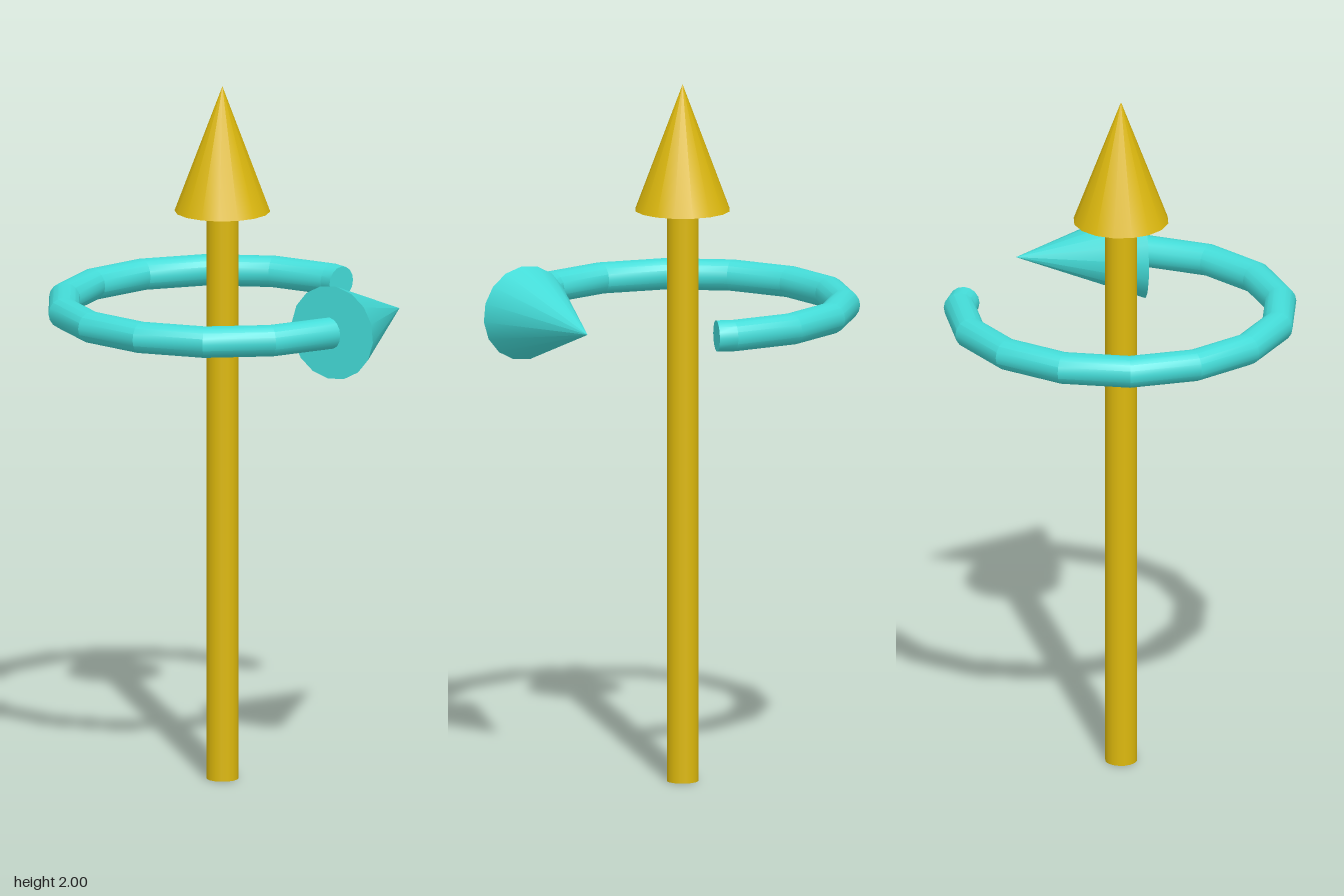
import * as THREE from 'three';
import { toCreasedNormals } from 'three/addons/utils/BufferGeometryUtils.js';

const SIDES = 16, R = 0.455, TUBE = 0.045, AXIS_X = -0.05, RING_Y = 1.365;
const HEAD_R = 0.135, HEAD_H = 0.36;

// Faceted three-quarter ring: 24 degree steps, the last one cut short at 270 degrees
function ringGeometry() {
  const stations = [];
  for (let a = 0; a <= 264; a += 24) stations.push([a, 1]);
  stations.push([270, 0.9836]);
  const pos = [], index = [];
  for (const [deg, scale] of stations) {
    const a = THREE.MathUtils.degToRad(deg);
    for (let j = 0; j < SIDES; j++) {
      const t = (j / SIDES) * Math.PI * 2;
      const r = (R + TUBE * Math.cos(t)) * scale;
      pos.push(r * Math.cos(a), TUBE * Math.sin(t), r * Math.sin(a));
    }
  }
  for (let i = 0; i < stations.length - 1; i++) {
    for (let j = 0; j < SIDES; j++) {
      const k = (j + 1) % SIDES;
      const a = i * SIDES + j, b = i * SIDES + k, c = a + SIDES, d = b + SIDES;
      index.push(a, b, c, b, d, c);
    }
  }
  // End caps
  const last = (stations.length - 1) * SIDES;
  for (let j = 1; j < SIDES - 1; j++) {
    index.push(0, j + 1, j);
    index.push(last, last + j, last + j + 1);
  }
  const g = new THREE.BufferGeometry();
  g.setAttribute('position', new THREE.Float32BufferAttribute(pos, 3));
  g.setIndex(index);
  return toCreasedNormals(g, 0.41);
}

export function createModel() {
  const group = new THREE.Group();
  const gold = new THREE.MeshStandardMaterial({ color: 0xdcb80c });
  const teal = new THREE.MeshStandardMaterial({ color: 0x44dcd8, side: THREE.DoubleSide });
  const add = (name, geometry, material, x, y, z) => {
    const mesh = new THREE.Mesh(geometry, material);
    mesh.name = name;
    mesh.position.set(x, y, z);
    group.add(mesh);
    return mesh;
  };

  // Upright axis arrow
  const shaftH = 2 - HEAD_H;
  add('axisShaft', new THREE.CylinderGeometry(TUBE, TUBE, shaftH, SIDES), gold, AXIS_X, shaftH / 2, 0);
  add('axisHead', new THREE.ConeGeometry(HEAD_R, HEAD_H, SIDES), gold, AXIS_X, 2 - HEAD_H / 2, 0);

  // Rotation arrow: open ring and a head leaning inward along the turn
  add('rotationRing', ringGeometry(), teal, AXIS_X, RING_Y, 0);
  const dir = new THREE.Vector3(-0.105, 0, -0.35).normalize();
  const headGeometry = new THREE.ConeGeometry(HEAD_R, HEAD_H, SIDES).translate(0, HEAD_H / 2, 0);
  const head = add('rotationHead', headGeometry, teal, AXIS_X + R, RING_Y, -0.01);
  head.quaternion.setFromUnitVectors(new THREE.Vector3(0, 1, 0), dir);

  return group;
}
